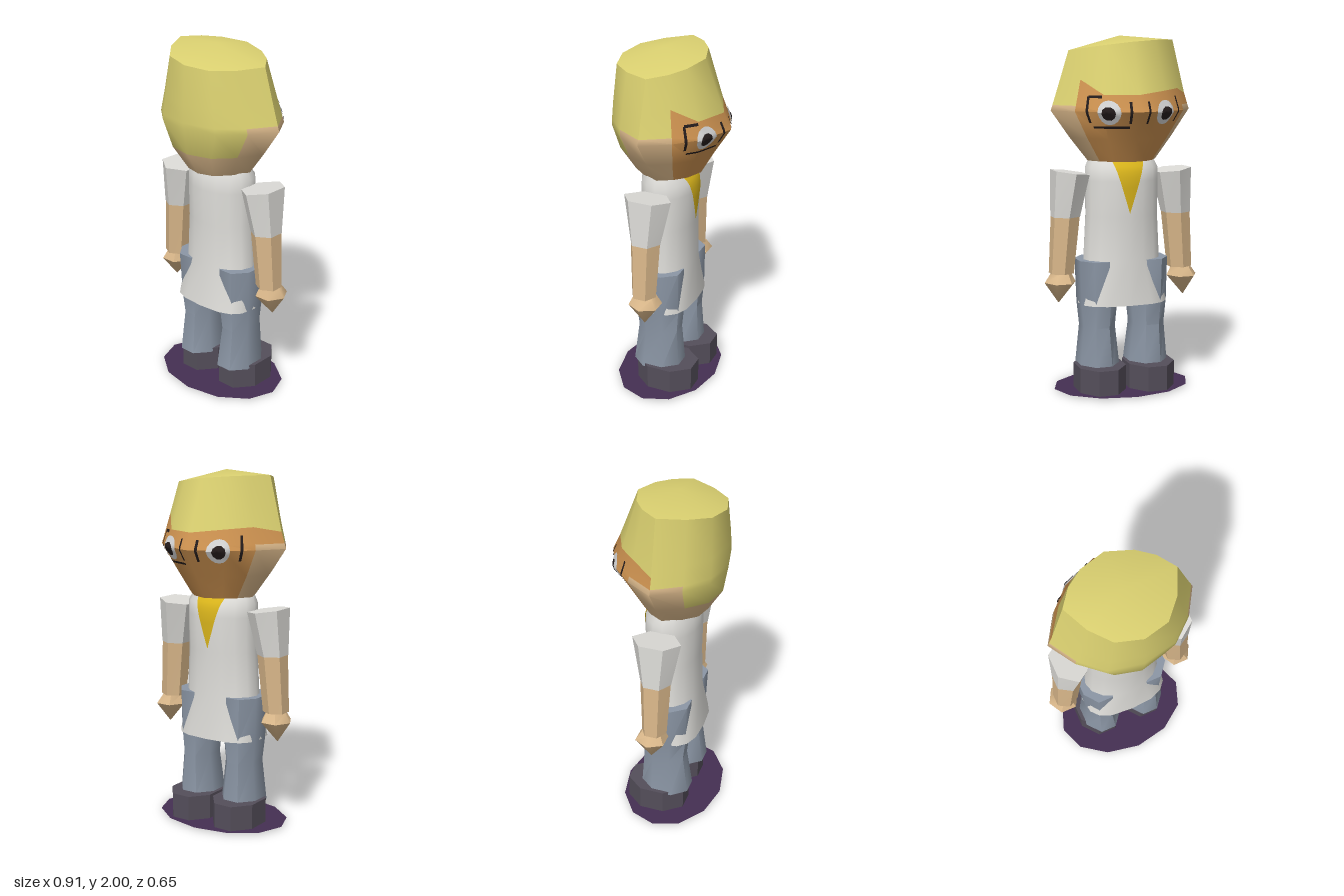
import * as THREE from 'three';
import { toCreasedNormals } from 'three/addons/utils/BufferGeometryUtils.js';

const material = (name, color, side = THREE.FrontSide) => {
  const m = new THREE.MeshStandardMaterial({ color, side });
  m.name = name;
  return m;
};

function build(positions, indices) {
  const g = new THREE.BufferGeometry();
  g.setAttribute('position', new THREE.Float32BufferAttribute(positions, 3));
  g.setIndex(indices);
  return g;
}

// Capped loft through rings [y, cx, cz, rx, rz, power, tilt]; power < 1 makes a squarer ring
function loft(rings, n, phase = 0, crease = 0.9) {
  const pos = [], idx = [];
  const bend = (v, p) => Math.sign(v) * Math.abs(v) ** p;
  for (const [y, cx, cz, rx, rz, p = 1, tilt = 0] of rings) {
    for (let i = 0; i < n; i++) {
      const a = ((i + phase) / n) * Math.PI * 2;
      const dx = rx * bend(Math.sin(a), p);
      pos.push(cx + dx, y + tilt * dx, cz + rz * bend(Math.cos(a), p));
    }
  }
  const last = (rings.length - 1) * n;
  for (let j = 0; j < last; j += n) {
    for (let i = 0; i < n; i++) {
      const k = (i + 1) % n;
      idx.push(j + i, j + k, j + n + k, j + i, j + n + k, j + n + i);
    }
  }
  for (let i = 1; i < n - 1; i++) idx.push(0, i + 1, i, last, last + i, last + i + 1);
  return toCreasedNormals(build(pos, idx), crease);
}

// Linear interpolation in rows sorted by their first value
function sample(rows, v) {
  let j = 0;
  while (j < rows.length - 2 && v > rows[j + 1][0]) j++;
  const a = rows[j], b = rows[j + 1];
  const f = Math.min(1, Math.max(0, (v - a[0]) / (b[0] - a[0])));
  return a.map((q, k) => q + (b[k] - q) * f);
}

// Head outline: y, half width, depth to -z, depth to +z
const headRings = [
  [1.31, 0.2, 0.155, 0.22], [1.44, 0.302, 0.23, 0.3], [1.59, 0.408, 0.325, 0.325],
  [1.62, 0.398, 0.31, 0.326], [1.72, 0.366, 0.265, 0.323], [1.945, 0.305, 0.175, 0.31],
];
// Half cross-section from the nose round to the back of the head
const section = [
  [0, 0, -1], [1, 0.47, -0.75], [2, 0.77, -0.38], [3, 1, 0.09],
  [4, 0.78, 0.54], [5, 0.47, 0.88], [6, 0, 1],
];

// Point on the head; t counts columns from the nose, positive towards +x
function headPoint(t, y, grow = 1) {
  const [, w, front, back] = sample(headRings, y);
  const [, sx, sz] = sample(section, Math.abs(t));
  return [Math.sign(t) * sx * w * grow, y, sz * (sz < 0 ? front : back) * grow];
}

function headGeometry() {
  const pos = [], parts = [[], [], []]; // skin, face, hair
  const hairline = { '-3': 1.68, '-2': 1.71, '-1': 1.7, 0: 1.68, 1: 1.68, 2: 1.76 };
  const cols = Array.from({ length: 12 }, (_, i) => (i <= 6 ? i : i - 12));
  for (let j = 0; j < 6; j++) {
    for (const t of cols) {
      const y = [1.31, 1.44, 1.59, 1.62, hairline[t] ?? 1.72, 1.945][j];
      const p = headPoint(t, y);
      if (j === 5) p[1] += -0.1 * p[0] - 0.07 * (p[2] - 0.07); // lopsided crown
      pos.push(...p);
    }
  }
  pos.push(0, 2, 0.06);
  const region = (mid, j) => {
    const m = Math.abs(mid);
    if (j === 4) return 2;
    if (m < 2) return 1;
    if (m > 4) return j === 0 ? 0 : 2;
    if (j < 3) return 0;
    return mid > -3 && mid < 0 ? 1 : 2;
  };
  for (let i = 0; i < 12; i++) {
    const k = (i + 1) % 12, mid = cols[i] === 6 ? -5.5 : cols[i] + 0.5;
    for (let j = 0; j < 5; j++) {
      const a = j * 12 + i, b = j * 12 + k;
      parts[region(mid, j)].push(a, b + 12, b, a, a + 12, b + 12);
    }
    parts[2].push(60 + i, 72, 60 + k);
    if (i > 0 && i < 11) parts[0].push(0, i, i + 1);
  }
  const g = build(pos, parts.flat());
  let start = 0;
  parts.forEach((p, m) => { g.addGroup(start, p.length, m); start += p.length; });
  return toCreasedNormals(g, 0.85);
}

// Wraps a flat geometry onto the head
function decal(flat, t, y, st, sy, grow) {
  const p = flat.attributes.position;
  for (let i = 0; i < p.count; i++) {
    p.setXYZ(i, ...headPoint(t + p.getX(i) * st, y + p.getY(i) * sy, grow));
  }
  flat.computeVertexNormals();
  return flat;
}

// Tunic outline: y, half width, centre z, half depth, squareness
const tunicRings = [
  [0.5, 0.255, 0.035, 0.175, 0.7], [0.75, 0.225, 0.03, 0.152, 1], [1, 0.212, 0.028, 0.148, 1],
  [1.2, 0.213, 0.026, 0.155, 1], [1.27, 0.213, 0.027, 0.148, 1], [1.32, 0.19, 0.035, 0.118, 1],
];

function tieGeometry() {
  const pos = [], idx = [], rows = 10, n = 6;
  for (let r = 0; r <= rows; r++) {
    const y = 1.02 + (0.29 * r) / rows;
    const [, rx, cz, rz] = sample(tunicRings, y);
    for (let c = 0; c <= n; c++) {
      const x = 0.09 * (r / rows) * ((2 * c) / n - 1);
      pos.push(x, y, cz - rz * Math.sqrt(1 - (x / rx) ** 2) - 0.006);
      if (r < rows && c < n) {
        const a = r * (n + 1) + c, b = a + n + 1;
        idx.push(a, b, a + 1, a + 1, b, b + 1);
      }
    }
  }
  const g = build(pos, idx);
  g.computeVertexNormals();
  return g;
}

export function createModel() {
  const model = new THREE.Group();
  const hair = material('hair yellow', 0xdad070);
  const skin = material('skin tan', 0xd9b78a);
  const face = material('face orange', 0xcd9250);
  const white = material('tunic white', 0xdddcd8);
  const denim = material('trouser blue', 0x8b96a5);
  const shoe = material('shoe grey', 0x544e5a);
  const purple = material('base purple', 0x452f52, THREE.DoubleSide);
  const yellow = material('scarf yellow', 0xdab51c, THREE.DoubleSide);
  const eyeWhite = material('eye white', 0xd6d6d6, THREE.DoubleSide);
  const black = material('eye black', 0x241c1c, THREE.DoubleSide);
  const add = (name, geometry, mat) => {
    const m = new THREE.Mesh(geometry, mat);
    m.name = name;
    model.add(m);
    return m;
  };

  add('head', headGeometry(), [skin, face, hair]);
  add('tunic', loft(tunicRings.map(([y, rx, cz, rz, p]) => [y, 0, cz, rx, rz, p]), 16), white);
  add('scarf', tieGeometry(), yellow);

  const base = add('baseDisc', new THREE.CircleGeometry(1, 12), purple);
  base.rotation.x = -Math.PI / 2;
  base.scale.set(0.4, 0.29, 1);
  base.position.set(0, 0.008, 0.03);

  for (const s of [1, -1]) {
    const side = s > 0 ? 'left' : 'right';
    // Arms
    add(side + 'Sleeve', loft([
      [1, s * 0.33, 0.03, 0.085, 0.09],
      [1.248, s * 0.302, 0.028, 0.11, 0.138, 1, s * 0.13],
    ], 6), white);
    add(side + 'Forearm', loft([
      [0.68, s * 0.355, 0.03, 0.073, 0.072], [1, s * 0.33, 0.03, 0.083, 0.088],
    ], 6), skin);
    add(side + 'Hand', loft([
      [0.515, s * 0.375, 0.018, 0.002, 0.002], [0.63, s * 0.365, 0.018, 0.09, 0.095],
      [0.68, s * 0.36, 0.022, 0.06, 0.065],
    ], 6, 0.5), skin);

    // Legs, whose wide tops show through the tunic at the hips
    add(side + 'Leg', loft([
      [0.13, s * 0.145, 0.032, 0.125, 0.153], [0.37, s * 0.148, 0.025, 0.1, 0.128],
      [0.5, s * 0.148, 0.027, 0.113, 0.142], [0.75, s * 0.155, 0.032, 0.114, 0.148],
    ], 8, 0.5), denim);
    add(side + 'Shoe', loft([
      [0, s * 0.146, -0.02, 0.146, 0.184], [0.15, s * 0.146, -0.02, 0.146, 0.184],
    ], 8, 0.5, 0.5), shoe);

    // Eyes and the dark bars beside them
    add(side + 'EyeWhite', decal(new THREE.RingGeometry(0, 1, 16, 5), s * 0.86, 1.585, 0.33, 0.066, 1.025), eyeWhite);
    add(side + 'Pupil', decal(new THREE.RingGeometry(0, 1, 10, 4), s * 0.86, 1.58, 0.19, 0.038, 1.035), black);
    const bar = (name, t, y, w, h) =>
      add(side + name, decal(new THREE.PlaneGeometry(1, 1, 8, 8), s * t, y, w, h, 1.025), black);
    bar('InnerBar', 0.27, 1.585, 0.07, 0.12);
    bar('OuterBar', 1.55, 1.6, 0.09, 0.14);
    if (s > 0) {
      bar('LowerBar', 0.88, 1.505, 1.2, 0.012);
      bar('UpperBar', 1.3, 1.67, 0.5, 0.015);
    }
  }
  return model;
}
